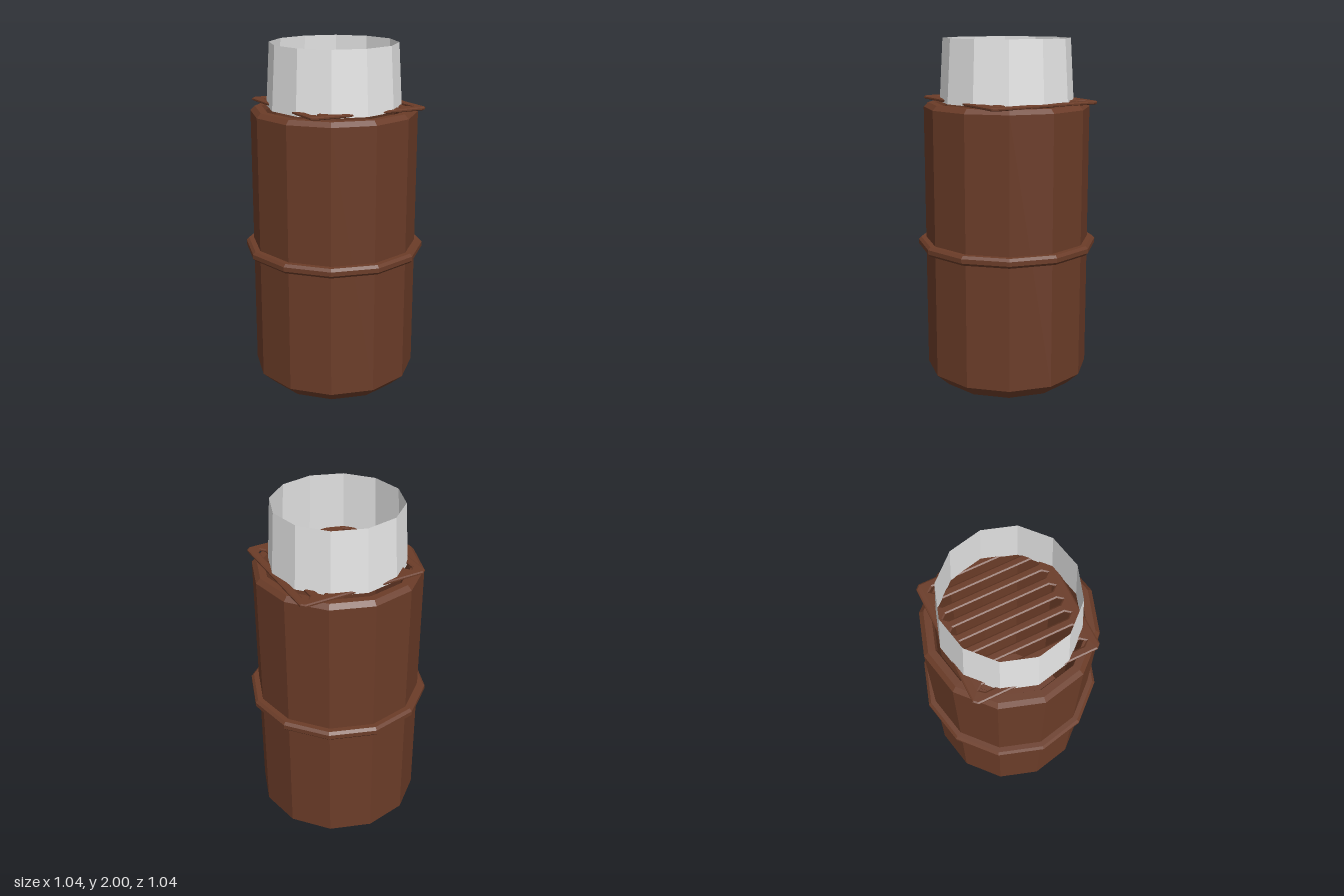
import * as THREE from 'three';

const SIDES = 12;

// Twelve-sided turned part from [radius, height] pairs
function turned(name, profile, material) {
  const points = profile.map(([r, y]) => new THREE.Vector2(r, y));
  const mesh = new THREE.Mesh(new THREE.LatheGeometry(points, SIDES), material);
  mesh.name = name;
  return mesh;
}

// Closed outline from [x, y] pairs
function outline(pairs, Type) {
  return new Type(pairs.map(([x, y]) => new THREE.Vector2(x, y)));
}

export function createModel() {
  const rust = new THREE.MeshStandardMaterial({ color: 0x6b3c28, flatShading: true });
  rust.name = 'rustBrown';
  const pale = new THREE.MeshStandardMaterial({ color: 0xe6e6e6, flatShading: true, side: THREE.DoubleSide });
  pale.name = 'paleGrey';

  const model = new THREE.Group();
  model.name = 'fireBarrel';

  // Open drum with chamfered foot, rim and hollow inside
  model.add(turned('drum', [
    [0, 0], [0.4, 0], [0.475, 0.07], [0.475, 1.615], [0.45, 1.64],
    [0.41, 1.64], [0.4, 1.61], [0.4, 0.1], [0, 0.1],
  ], rust));

  // Raised hoop around the middle
  model.add(turned('hoop', [
    [0.47, 0.795], [0.505, 0.795], [0.52, 0.81], [0.52, 0.835], [0.505, 0.85], [0.47, 0.85],
  ], rust));

  // Slotted grate lying slightly askew on the rim
  const w = 0.365, d = 0.355, c = 0.02;
  const plate = outline([
    [-w + c, -d], [w - c, -d], [w, -d + c], [w, d - c],
    [w - c, d], [-w + c, d], [-w, d - c], [-w, -d + c],
  ], THREE.Shape);
  for (let i = 0; i < 8; i++) {
    const x = (i - 3.5) * 0.087, h = 0.025;
    plate.holes.push(outline([
      [x - h, -0.28], [x - h, 0.28], [x, 0.31], [x + h, 0.28], [x + h, -0.28], [x, -0.31],
    ], THREE.Path));
  }
  const grateGeometry = new THREE.ExtrudeGeometry(plate, {
    depth: 0.008, bevelEnabled: true, bevelThickness: 0.005, bevelSize: 0.008, bevelOffset: -0.004, bevelSegments: 1,
  });
  grateGeometry.rotateX(-Math.PI / 2);
  const grate = new THREE.Mesh(grateGeometry, rust);
  grate.name = 'grate';
  grate.position.set(0.022, 1.65, -0.003);
  grate.rotation.set(0, 0.052, -0.02);
  model.add(grate);

  // Thin open sleeve rising from the grate
  model.add(turned('sleeve', [[0.383, 1.645], [0.362, 2]], pale));

  return model;
}
